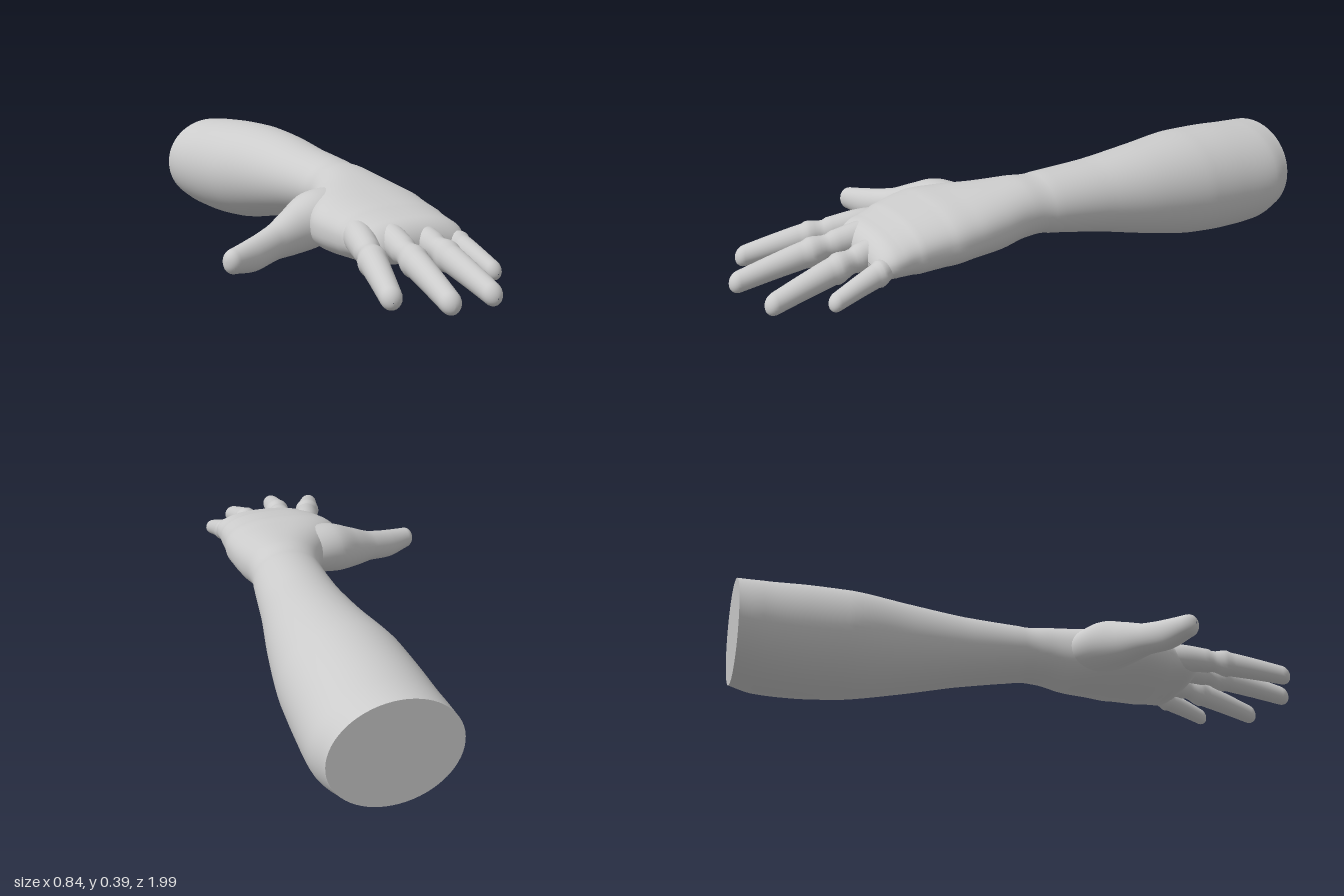
import * as THREE from 'three';

const UP = new THREE.Vector3(0, 1, 0);
const skin = new THREE.MeshStandardMaterial({ color: 0xcccccc });

// Smooth loft through rows [x, y, z, halfWidth, halfHeight, squareness],
// with a flat start cap and a rounded tip.
function loft(name, rows, steps, sides, warp = (p) => p) {
  const centres = new THREE.CatmullRomCurve3(rows.map((r) => new THREE.Vector3(r[0], r[1], r[2])));
  const sizes = new THREE.CatmullRomCurve3(rows.map((r) => new THREE.Vector3(r[3], r[4], r[5] ?? 2)));
  const dir = centres.getPoint(1).sub(centres.getPoint(0)).setY(0).normalize();
  const side = UP.clone().cross(dir);

  const sections = [];
  for (let i = 0; i <= steps; i++) {
    sections.push({ c: centres.getPoint(i / steps), s: sizes.getPoint(i / steps) });
  }
  // Rounded tip
  const last = sections[steps];
  const tangent = centres.getTangent(1);
  const radius = Math.min(last.s.x, last.s.y);
  for (let k = 1; k <= 8; k++) {
    const a = (k / 8) * Math.PI * 0.495;
    const inset = radius * (1 - Math.cos(a));
    sections.push({
      c: last.c.clone().addScaledVector(tangent, radius * Math.sin(a)),
      s: new THREE.Vector3(last.s.x - inset, last.s.y - inset, last.s.z),
    });
  }

  const pos = [];
  const index = [];
  const bend = (v, n) => Math.sign(v) * Math.abs(v) ** (2 / n);
  const ring = ({ c, s }) => {
    for (let j = 0; j < sides; j++) {
      const a = (j / sides) * Math.PI * 2;
      const p = c.clone()
        .addScaledVector(side, s.x * bend(Math.cos(a), s.z))
        .addScaledVector(UP, s.y * bend(Math.sin(a), s.z));
      pos.push(...warp(p).toArray());
    }
  };
  sections.forEach(ring);
  for (let i = 0; i < sections.length - 1; i++) {
    for (let j = 0; j < sides; j++) {
      const a = i * sides + j;
      const b = i * sides + ((j + 1) % sides);
      index.push(a, b, b + sides, a, b + sides, a + sides);
    }
  }
  // Flat start cap on its own vertices, so its edge stays sharp
  const first = pos.length / 3;
  ring(sections[0]);
  const hub = pos.length / 3;
  pos.push(...warp(sections[0].c.clone()).toArray());
  for (let j = 0; j < sides; j++) index.push(hub, first + ((j + 1) % sides), first + j);

  const geo = new THREE.BufferGeometry();
  geo.setAttribute('position', new THREE.Float32BufferAttribute(pos, 3));
  geo.setIndex(index);
  geo.computeVertexNormals();
  const mesh = new THREE.Mesh(geo, skin);
  mesh.name = name;
  return mesh;
}

// Row across the arm from its left/right and bottom/top limits at depth z
const span = (z, x0, x1, y0, y1, n = 2) =>
  [(x0 + x1) / 2, (y0 + y1) / 2, z, (x1 - x0) / 2, (y1 - y0) / 2, n];

// Finger from inside the palm to its tip, with a slight arch and joint swell
function finger(name, base, tip, width) {
  const shape = [[0, 0.95], [0.25, 1.12], [0.45, 1], [0.62, 1], [0.8, 0.9], [1, 0.78]];
  const rows = shape.map(([t, f]) => [
    THREE.MathUtils.lerp(base[0], tip[0], t),
    THREE.MathUtils.lerp(base[1], tip[1], t) + 0.012 * Math.sin(Math.PI * t),
    THREE.MathUtils.lerp(base[2], tip[2], t),
    width * f, width * f * 1.05,
  ]);
  return loft(name, rows, 30, 24);
}

export function createModel() {
  const group = new THREE.Group();
  group.name = 'forearmAndHand';

  // Forearm, wrist and palm as one skin; the cut end is slanted
  const slant = (p) => {
    const k = THREE.MathUtils.clamp((-0.7 - p.z) / 0.28, 0, 1);
    p.z -= k * ((p.x - 0.2) * 0.04 + (p.y - 0.19) * 0.08);
    return p;
  };
  group.add(loft('forearmAndPalm', [
    span(-0.98, 0.0, 0.395, 0.015, 0.36),
    span(-0.9, 0.0, 0.418, 0.003, 0.37),
    span(-0.75, 0.005, 0.415, 0.005, 0.385),
    span(-0.6, 0.012, 0.408, 0.022, 0.393),
    span(-0.4, 0.05, 0.38, 0.07, 0.385),
    span(-0.2, 0.07, 0.342, 0.122, 0.37),
    span(0, 0.07, 0.312, 0.162, 0.364),
    span(0.1, 0.05, 0.302, 0.168, 0.364, 2.1),
    span(0.2, -0.005, 0.308, 0.15, 0.357, 2.2),
    span(0.3, -0.075, 0.313, 0.145, 0.348, 2.3),
    span(0.4, -0.108, 0.307, 0.142, 0.336, 2.4),
    span(0.5, -0.09, 0.298, 0.145, 0.318, 2.4),
    span(0.57, -0.077, 0.294, 0.155, 0.298, 2.3),
  ], 96, 64, slant));

  // Thumb with its fleshy base
  group.add(loft('thumb', [
    [0.09, 0.255, 0.24, 0.1, 0.075],
    [-0.04, 0.242, 0.27, 0.095, 0.088],
    [-0.14, 0.218, 0.3, 0.066, 0.074],
    [-0.22, 0.2, 0.328, 0.048, 0.056],
    [-0.31, 0.183, 0.363, 0.042, 0.052],
    [-0.388, 0.182, 0.393, 0.034, 0.039],
  ], 40, 32));

  // Four fingers
  group.add(finger('indexFinger', [-0.008, 0.25, 0.44], [-0.163, 0.178, 0.885], 0.041));
  group.add(finger('middleFinger', [0.065, 0.258, 0.44], [-0.025, 0.165, 0.965], 0.041));
  group.add(finger('ringFinger', [0.148, 0.255, 0.44], [0.147, 0.152, 0.93], 0.041));
  group.add(finger('littleFinger', [0.24, 0.24, 0.44], [0.265, 0.165, 0.79], 0.035));
  return group;
}
